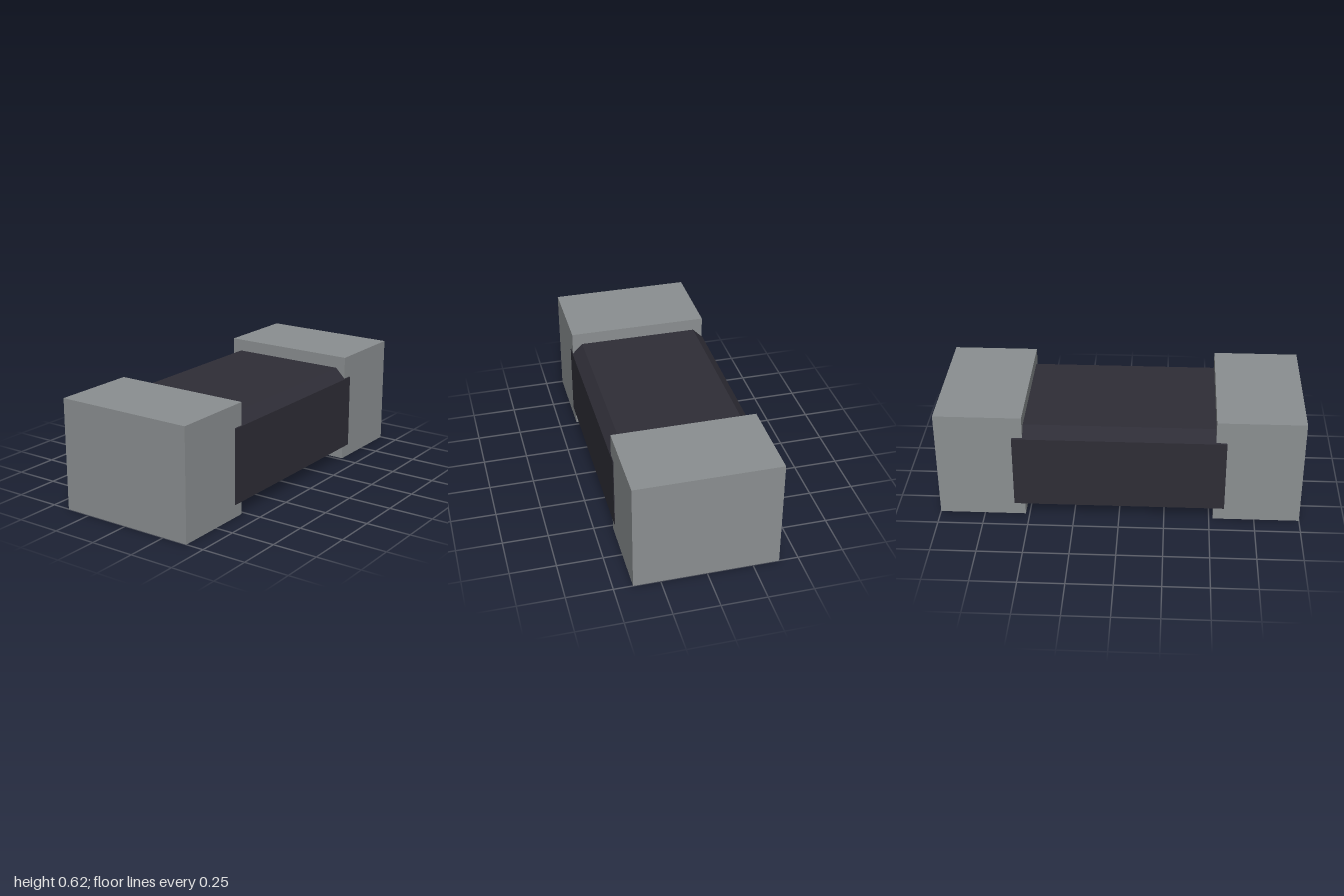
import * as THREE from 'three';

// Block whose upper rim is bevelled inward on all four sides
function bevelledBlock(w, d, y0, yRim, yTop, inset) {
  const box = new THREE.BoxGeometry(w, 2, d, 1, 2, 1);
  const p = box.attributes.position;
  for (let i = 0; i < p.count; i++) {
    const level = Math.round(p.getY(i)) + 1;
    p.setY(i, [y0, yRim, yTop][level]);
    if (level === 2) {
      p.setX(i, p.getX(i) - Math.sign(p.getX(i)) * inset);
      p.setZ(i, p.getZ(i) - Math.sign(p.getZ(i)) * inset);
    }
  }
  const geometry = box.toNonIndexed();
  geometry.computeVertexNormals();
  return geometry;
}

export function createModel() {
  const group = new THREE.Group();
  const metal = new THREE.MeshStandardMaterial({ color: 0x8b8f91 });
  metal.name = 'grey metal';
  const dark = new THREE.MeshStandardMaterial({ color: 0x2e2d36 });
  dark.name = 'dark ceramic';

  // Dark central body
  const body = new THREE.Mesh(bevelledBlock(1.164, 0.8, 0.072, 0.492, 0.552, 0.06), dark);
  body.name = 'body';
  group.add(body);

  // Metal end caps
  for (const side of [1, -1]) {
    const cap = new THREE.Mesh(new THREE.BoxGeometry(0.478, 0.621, 0.791), metal);
    cap.position.set(side * 0.761, 0.3105, 0.001);
    cap.name = side > 0 ? 'leftEndCap' : 'rightEndCap';
    group.add(cap);
  }
  return group;
}
